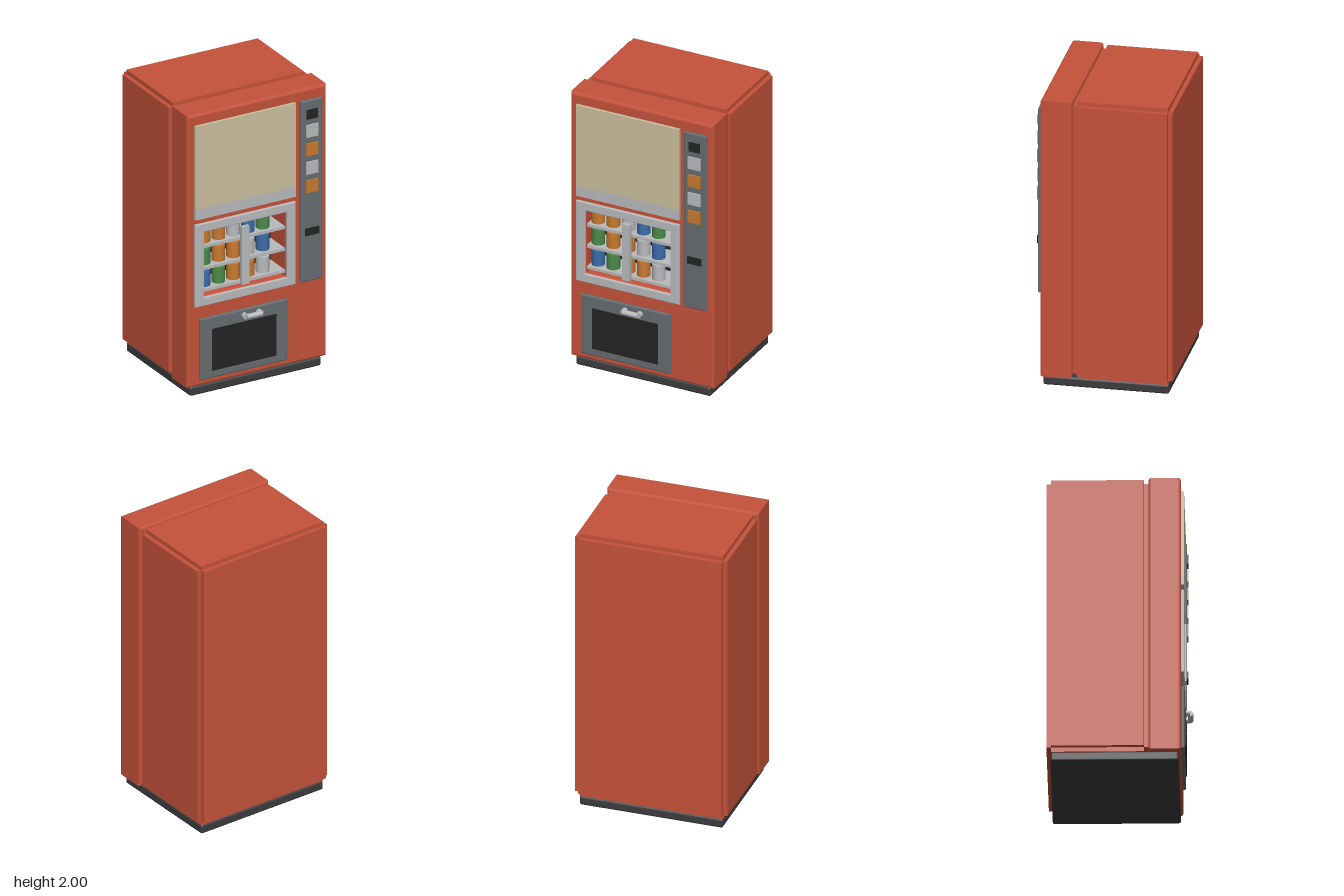
import * as THREE from 'three';
import { RoundedBoxGeometry } from 'three/addons/geometries/RoundedBoxGeometry.js';

const mat = (name, color) => {
  const m = new THREE.MeshStandardMaterial({ color });
  m.name = name;
  return m;
};

export function createModel() {
  const root = new THREE.Group();
  root.name = 'vendingMachine';

  const red = mat('red paint', 0xc5523a);
  const charcoal = mat('charcoal', 0x3c3c3f);
  const black = mat('black', 0x242424);
  const grey = mat('grey', 0x666c6f);
  const silver = mat('silver', 0xb9babc);
  const cream = mat('cream', 0xcabf9f);
  const orange = mat('orange', 0xc87a30);
  const blue = mat('blue', 0x3c6ca8);
  const green = mat('green', 0x4c8a4a);

  const add = (name, geo, material, parent = root) => {
    const mesh = new THREE.Mesh(geo, material);
    mesh.name = name;
    parent.add(mesh);
    return mesh;
  };

  // Box given by its limits on each axis
  const box = (name, [x0, x1], [y0, y1], [z0, z1], material, parent) => {
    const mesh = add(name, new THREE.BoxGeometry(x1 - x0, y1 - y0, z1 - z0), material, parent);
    mesh.position.set((x0 + x1) / 2, (y0 + y1) / 2, (z0 + z1) / 2);
    return mesh;
  };

  const trace = (path, [x0, x1], [y0, y1]) => {
    path.moveTo(x0, y0);
    path.lineTo(x1, y0);
    path.lineTo(x1, y1);
    path.lineTo(x0, y1);
    path.closePath();
    return path;
  };

  // Bevelled plate facing +z, with an optional rectangular opening
  const plate = (name, xs, ys, [z0, z1], bevel, material, hole) => {
    const shape = trace(new THREE.Shape(), xs, ys);
    if (hole) shape.holes.push(trace(new THREE.Path(), ...hole));
    const geo = new THREE.ExtrudeGeometry(shape, {
      depth: z1 - z0 - 2 * bevel, bevelEnabled: true, bevelSegments: 2,
      bevelSize: bevel, bevelThickness: bevel, bevelOffset: -bevel,
    });
    geo.translate(0, 0, z0 + bevel);
    return add(name, geo, material);
  };

  // Plinth
  const base = add('base', new RoundedBoxGeometry(0.98, 0.065, 0.83, 2, 0.015), charcoal);
  base.position.set(0, 0.0325, -0.035);

  // Cabinet: three crossed slabs leave stepped edges
  const cabinet = new THREE.Group();
  cabinet.name = 'cabinet';
  root.add(cabinet);
  box('cabinetDepth', [-0.49, 0.49], [0.095, 1.972], [-0.475, 0.186], red, cabinet);
  box('cabinetSides', [-0.52, 0.52], [0.095, 1.972], [-0.445, 0.155], red, cabinet);
  box('cabinetHeight', [-0.49, 0.49], [0.065, 2], [-0.445, 0.155], red, cabinet);

  // Door with the display opening
  const openX = [-0.405, 0.215], openY = [0.7, 1.165];
  plate('door', [-0.52, 0.52], [0.07, 2], [0.185, 0.395], 0.015, red, [openX, openY]);
  box('displayBack', [-0.43, 0.24], [0.68, 1.185], [0.188, 0.2], black);
  plate('displayFrame', [-0.47, 0.28], [0.64, 1.225], [0.393, 0.416], 0.005, silver, [openX, openY]);

  // Sign panel and its lower strip
  box('signPanel', [-0.47, 0.28], [1.335, 1.925], [0.393, 0.415], cream);
  box('signStrip', [-0.47, 0.28], [1.26, 1.335], [0.393, 0.415], silver);

  // Shelves and cans
  const rows = [
    [1.055, [orange, orange, silver, blue, green]],
    [0.9, [green, orange, orange, silver, blue]],
    [0.745, [blue, green, orange, orange, silver]],
  ];
  const can = new THREE.CylinderGeometry(0.044, 0.044, 0.11, 24);
  for (const [y, colours] of rows) {
    box('shelf', openX, [y - 0.02, y], [0.2, 0.385], silver);
    colours.forEach((c, i) => {
      add('can', can, c).position.set(-0.355 + 0.11 * i, y + 0.055, 0.32);
    });
  }
  box('displayDivider', [-0.13, -0.073], [0.73, 1.14], [0.4, 0.425], silver);

  // Control panel, screen, buttons and coin slot
  plate('controlPanel', [0.315, 0.478], [0.64, 1.925], [0.393, 0.42], 0.01, grey);
  box('screen', [0.355, 0.435], [1.795, 1.86], [0.415, 0.43], black);
  [silver, orange, silver, orange].forEach((c, i) => {
    const y = 1.71 - 0.131 * i;
    box('button', [0.351, 0.441], [y - 0.044, y + 0.044], [0.415, 0.43], c);
  });
  box('coinSlot', [0.346, 0.446], [0.97, 1.02], [0.415, 0.43], black);

  // Collection hatch
  plate('hatch', [-0.437, 0.215], [0.115, 0.552], [0.393, 0.418], 0.01, grey);
  box('hatchWindow', [-0.35, 0.13], [0.17, 0.465], [0.415, 0.423], black);

  // Handle
  const handle = new THREE.Group();
  handle.name = 'hatchHandle';
  handle.position.set(-0.055, 0.51, 0);
  root.add(handle);
  const bar = add('handleBar', new THREE.CylinderGeometry(0.018, 0.018, 0.11, 20), silver, handle);
  bar.rotation.z = Math.PI / 2;
  bar.position.z = 0.451;
  for (const side of [-1, 1]) {
    const post = add('handlePost', new THREE.CylinderGeometry(0.02, 0.02, 0.035, 20), silver, handle);
    post.rotation.x = Math.PI / 2;
    post.position.set(side * 0.055, 0, 0.43);
  }

  return root;
}
